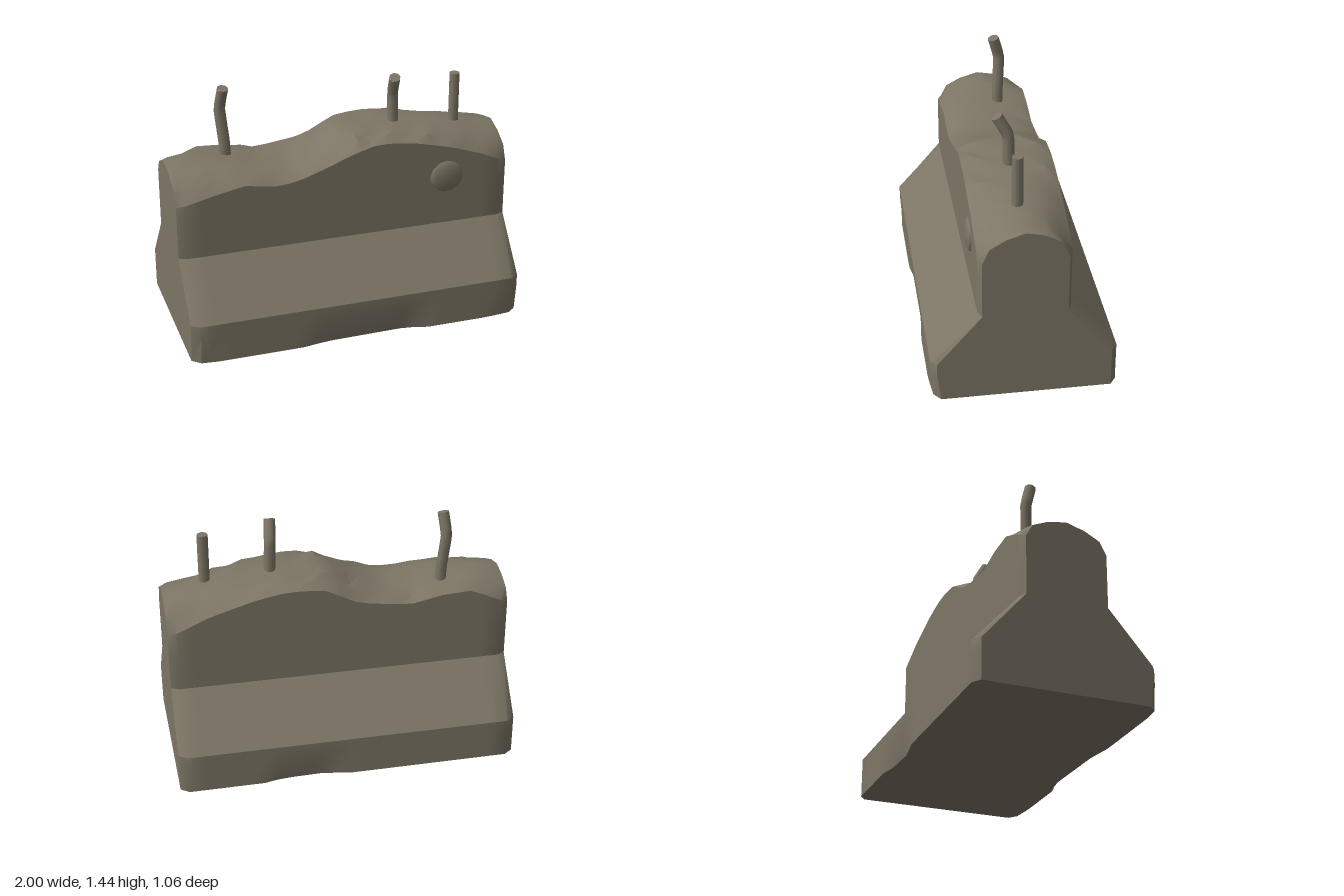
import * as THREE from 'three';
import { toCreasedNormals } from 'three/addons/utils/BufferGeometryUtils.js';

const concrete = new THREE.MeshStandardMaterial({ color: 0x7d7666 });
concrete.name = 'weathered concrete';

// piecewise-linear height along x
function sample(points, x) {
  for (let i = 1; i < points.length; i++) {
    const [x0, y0] = points[i - 1], [x1, y1] = points[i];
    if (x <= x1) return y0 + (y1 - y0) * (x - x0) / (x1 - x0);
  }
  return points[points.length - 1][1];
}

// broken top: centre ridge, front rim and back rim
const ridge = [[-1, 1.02], [-0.95, 1.035], [-0.7, 1.03], [-0.5, 1.0], [-0.25, 0.99], [-0.2, 1.04], [-0.1, 1.04],
  [0.03, 1.13], [0.42, 1.13], [0.75, 1.095], [0.95, 1.065], [1, 1.06]];
const frontRim = [[-1, 0.86], [-0.75, 0.92], [-0.6, 0.95], [-0.45, 0.92], [-0.3, 0.93], [-0.1, 1.0], [0.05, 1.06],
  [0.2, 1.1], [0.4, 1.08], [0.65, 1.02], [0.85, 0.95], [1, 0.88]];
const backRim = [[-1, 0.89], [-0.78, 1.0], [-0.6, 0.99], [-0.41, 0.95], [-0.11, 0.99], [0.1, 1.1], [0.3, 1.11],
  [0.48, 1.08], [0.75, 1.0], [1, 0.89]];

// shallow chips along the bottom edges
const frontChip = [[-1, 0.02], [-0.9, 0], [-0.35, 0], [-0.2, 0.025], [0.3, 0.035], [0.42, 0], [0.8, 0], [1, 0.02]];
const backChip = [[-1, 0], [0, 0], [0.15, 0.03], [0.4, 0.025], [0.5, 0], [1, 0]];

function noise(a, b) {
  const s = Math.sin(a * 127.1 + b * 311.7) * 43758.5453;
  return s - Math.floor(s) - 0.5;
}

// one closed outline, from bottom front over the top to bottom back
function section(x, k) {
  const inset = Math.abs(x) > 0.99 ? 0.035 : 0;
  const f = sample(frontRim, x), r = sample(ridge, x), b = sample(backRim, x);
  const rough = inset ? 0 : 0.03;
  const crest = (rim, t, n) => rim + (r - rim) * t + rough * noise(k, n);
  const base = 0.528 - inset, wall = 0.26 - inset * 0.6;
  return [
    [base - sample(frontChip, x), 0], [base, 0.16], [base, 0.24], [wall, 0.54], [wall, 0.75], [wall, f],
    [0.2, crest(f, 0.5, 1)], [0.11, crest(f, 0.8, 2)], [0, r], [-0.11, crest(b, 0.85, 3)], [-0.2, crest(b, 0.55, 4)],
    [-wall, b], [-wall, 0.75], [-wall, 0.54], [-base, 0.24], [-base, 0.16], [-base + sample(backChip, x), 0],
  ];
}

function barrierGeometry() {
  const xs = [-1, -0.95];
  for (let x = -0.85; x < 0.9; x += 0.085) xs.push(x);
  xs.push(0.95, 1);
  const pos = [], idx = [];
  let n = 0;
  xs.forEach((x, k) => {
    const ring = section(x, k);
    n = ring.length;
    ring.forEach(([z, y]) => pos.push(x, y, z));
  });
  for (let i = 0; i < xs.length - 1; i++) {
    for (let j = 0; j < n; j++) {
      const a = i * n + j, d = i * n + (j + 1) % n;
      idx.push(a, a + n, d + n, a, d + n, d);
    }
  }
  // end faces
  const last = (xs.length - 1) * n, c = xs.length * n;
  pos.push(-1, 0.45, 0, 1, 0.45, 0);
  for (let j = 0; j < n; j++) {
    const m = (j + 1) % n;
    idx.push(c, j, m, c + 1, last + m, last + j);
  }
  const g = new THREE.BufferGeometry();
  g.setAttribute('position', new THREE.Float32BufferAttribute(pos, 3));
  g.setIndex(idx);
  return toCreasedNormals(g, 0.62);
}

// bent reinforcing rod with a flat cut end
function rod(name, points, radius) {
  const group = new THREE.Group();
  group.name = name;
  const curve = new THREE.CatmullRomCurve3(points.map(p => new THREE.Vector3(...p)), false, 'catmullrom', 0.15);
  const shaft = new THREE.Mesh(new THREE.TubeGeometry(curve, 10, radius, 8), concrete);
  shaft.name = name + 'Shaft';
  const cap = new THREE.Mesh(new THREE.CircleGeometry(radius, 8), concrete);
  cap.name = name + 'End';
  cap.position.copy(curve.getPoint(1));
  cap.quaternion.setFromUnitVectors(new THREE.Vector3(0, 0, 1), curve.getTangent(1));
  group.add(shaft, cap);
  return group;
}

export function createModel() {
  const model = new THREE.Group();
  model.name = 'brokenBarrier';

  const body = new THREE.Mesh(barrierGeometry(), concrete);
  body.name = 'barrierBody';
  model.add(body);

  // lump on the front wall
  const lump = new THREE.Mesh(new THREE.SphereGeometry(1, 8, 6), concrete);
  lump.name = 'frontLump';
  lump.scale.set(0.11, 0.1, 0.028);
  lump.position.set(0.62, 0.84, 0.256);
  model.add(lump);

  // exposed rods
  model.add(
    rod('rightRod', [[-0.63, 0.95, -0.08], [-0.635, 1.08, -0.08], [-0.655, 1.29, -0.092], [-0.64, 1.425, -0.056]], 0.034),
    rod('middleRod', [[0.37, 1.05, 0], [0.37, 1.15, 0], [0.365, 1.31, 0.005], [0.355, 1.42, 0.065]], 0.034),
    rod('leftRod', [[0.75, 1.0, 0.01], [0.75, 1.2, 0.01], [0.75, 1.385, 0.01]], 0.032),
  );
  return model;
}
